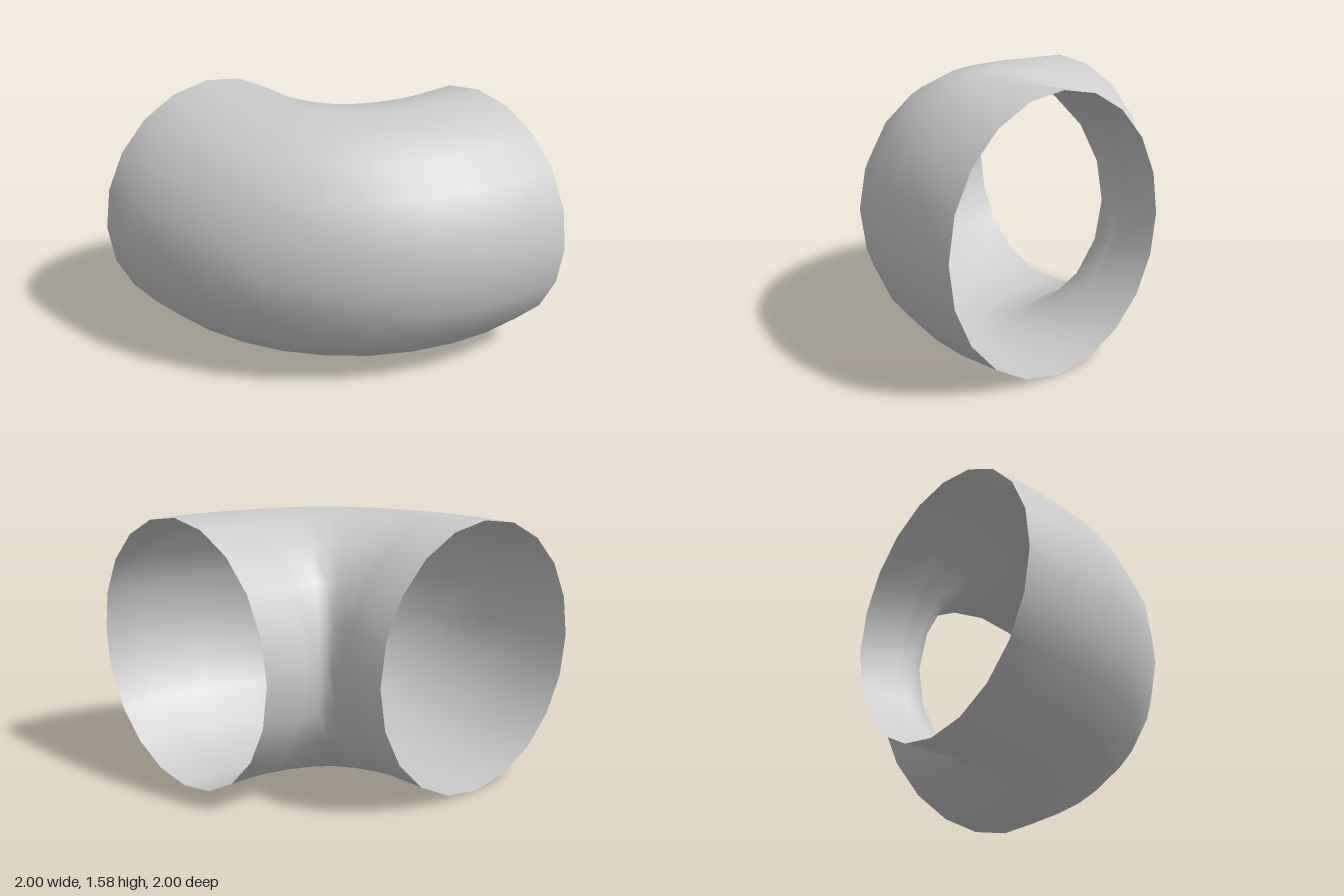
import * as THREE from 'three';

const SIDES = 20;      // corners around the pipe
const RADIUS = 0.792;  // pipe radius
const PIVOT = -0.72;   // bend centre, same in x and z
// distance of inner and outer wall from the pivot, from bend start to its middle
const INNER = [0.137, 0.145, 0.16, 0.18, 0.2];
const OUTER = [1.72, 1.695, 1.678, 1.668, 1.659];

// One ring: turned by angle about the pivot, then shifted along x and z
function ring(angle, inner, outer, dx = 0, dz = 0) {
  const points = [];
  for (let j = 0; j < SIDES; j++) {
    const p = (j / SIDES) * Math.PI * 2;
    const r = (inner + outer) / 2 + ((outer - inner) / 2) * Math.cos(p);
    points.push(
      PIVOT + r * Math.sin(angle) + dx,
      RADIUS + RADIUS * Math.sin(p),
      PIVOT + r * Math.cos(angle) + dz
    );
  }
  return points;
}

function elbowGeometry() {
  const straight = 1 + PIVOT;
  const steps = 8;
  const rings = [ring(0, INNER[0], OUTER[0], -straight, 0)];
  // the bend narrows towards its middle
  for (let i = 0; i <= steps; i++) {
    const k = Math.min(i, steps - i);
    rings.push(ring((i / steps) * Math.PI / 2, INNER[k], OUTER[k]));
  }
  rings.push(ring(Math.PI / 2, INNER[0], OUTER[0], 0, -straight));

  const index = [];
  for (let i = 0; i < rings.length - 1; i++) {
    for (let j = 0; j < SIDES; j++) {
      const a = i * SIDES + j;
      const b = i * SIDES + ((j + 1) % SIDES);
      index.push(a, a + SIDES, b, b, a + SIDES, b + SIDES);
    }
  }
  const geometry = new THREE.BufferGeometry();
  geometry.setAttribute('position', new THREE.Float32BufferAttribute(rings.flat(), 3));
  geometry.setIndex(index);
  geometry.computeVertexNormals();
  return geometry;
}

export function createModel() {
  const group = new THREE.Group();
  group.name = 'pipeElbow';
  // thin open shell, seen from inside and outside
  const material = new THREE.MeshStandardMaterial({ color: 0xcccccc, side: THREE.DoubleSide });
  const pipe = new THREE.Mesh(elbowGeometry(), material);
  pipe.name = 'elbowPipe';
  group.add(pipe);
  return group;
}
